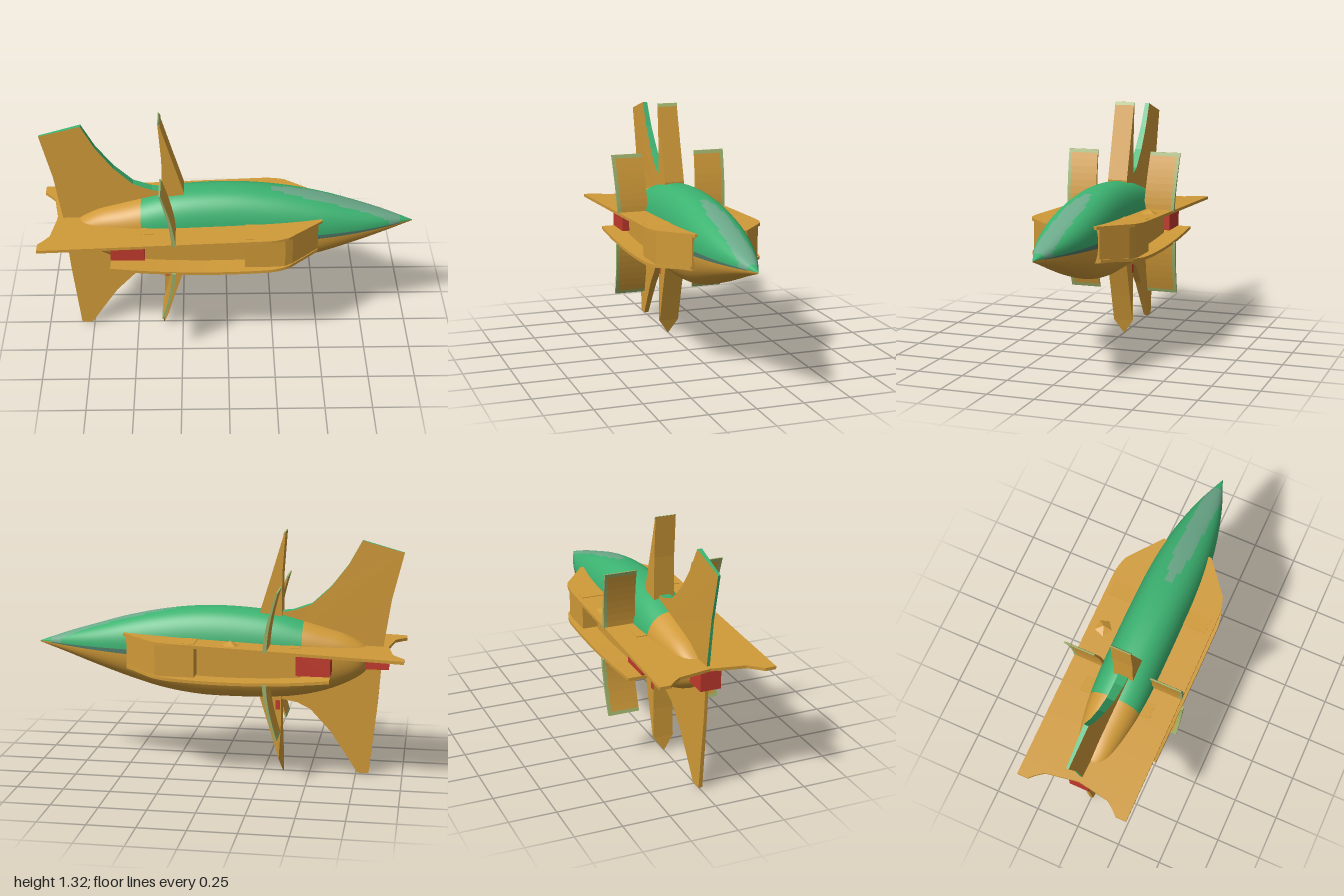
import * as THREE from 'three';

const mat = (name, color, side = THREE.FrontSide) => {
  const m = new THREE.MeshStandardMaterial({ color, side });
  m.name = name;
  return m;
};

export function createModel() {
  const orange = mat('orange', 0xd09a38);
  const green = mat('green', 0x3cb371);
  const pale = mat('pale green', 0x6cab8b);
  const olive = mat('olive trim', 0x9fb26c);
  const teal = mat('dark teal', 0x4d7a68);
  const red = mat('red', 0xc23a2c);

  const model = new THREE.Group();
  const add = (parent, name, geo, material) => {
    const m = new THREE.Mesh(geo, material);
    m.name = name;
    parent.add(m);
    return m;
  };
  const shape = pts => new THREE.Shape(pts.map(p => new THREE.Vector2(...p)));
  const box = (x0, x1, y0, y1, z0, z1) =>
    new THREE.BoxGeometry(x1 - x0, y1 - y0, z1 - z0)
      .translate((x0 + x1) / 2, (y0 + y1) / 2, (z0 + z1) / 2);
  // moves every vertex by a rule
  const warp = (geo, rule) => {
    const p = geo.attributes.position, v = new THREE.Vector3();
    for (let i = 0; i < p.count; i++) {
      rule(v.fromBufferAttribute(p, i), i);
      p.setXYZ(i, v.x, v.y, v.z);
    }
    geo.computeVertexNormals();
    return geo;
  };
  // side profile in x, y extruded from z0 to z1
  const slab = (pts, z0, z1) =>
    new THREE.ExtrudeGeometry(shape(pts), { depth: z1 - z0, bevelEnabled: false }).translate(0, 0, z0);

  // fuselage: x, top, bottom, half width
  const sections = [
    [-0.82, 0.67, 0.66, 0], [-0.8, 0.71, 0.595, 0.05], [-0.76, 0.74, 0.555, 0.085],
    [-0.68, 0.78, 0.51, 0.11], [-0.58, 0.81, 0.47, 0.13], [-0.46, 0.845, 0.44, 0.146],
    [-0.3, 0.885, 0.42, 0.155], [-0.1, 0.904, 0.415, 0.157], [0.1, 0.903, 0.42, 0.157],
    [0.3, 0.88, 0.45, 0.154], [0.5, 0.838, 0.507, 0.14], [0.68, 0.786, 0.568, 0.108],
    [0.84, 0.737, 0.624, 0.063], [1, 0.68, 0.675, 0]];
  const upperLine = new THREE.SplineCurve(sections.map(s => new THREE.Vector2(s[0], s[1])));
  const lowerLine = new THREE.SplineCurve(sections.map(s => new THREE.Vector2(s[2], s[3])));
  const nx = (sections.length - 1) * 6, na = 64;
  const body = new THREE.PlaneGeometry(1, 1, nx, na);
  const uv = body.attributes.uv;
  const soft = c => Math.sign(c) * Math.abs(c) ** 0.84;
  warp(body, (v, i) => {
    const a = -Math.PI / 2 + uv.getY(i) * Math.PI * 2;
    const t = uv.getX(i), s = upperLine.getPoint(t), w = lowerLine.getPoint(t);
    const mid = Math.min(0.68, (s.y * 2 + w.x) / 3 + 0.03, s.y);
    const sn = soft(Math.sin(a));
    v.set(s.x, mid + sn * (sn > 0 ? s.y - mid : mid - w.x), Math.max(0, w.y) * soft(Math.cos(a)));
  });
  // sort the fuselage faces by colour
  const bins = [[], [], [], []];
  const pos = body.attributes.position, idx = body.index.array;
  for (let r = 0; r < na; r++) for (let c = 0; c < nx; c++) {
    const k = (r * nx + c) * 6;
    const a = -Math.PI / 2 + (1 - (r + 0.5) / na) * Math.PI * 2;
    let x = 0, z = 0;
    for (let j = 0; j < 6; j++) { x += pos.getX(idx[k + j]) / 6; z += pos.getZ(idx[k + j]) / 6; }
    const upper = Math.sin(a) > 0 && x > -0.46;
    const glint = upper && x > 0.25 && x < 0.93 &&
      Math.abs(z) < 0.05 * Math.sqrt(Math.min(1, (x - 0.24) / 0.2));
    const groove = x > 0.48 && x < 0.93 && Math.sin(a) < 0 && Math.sin(a) > -0.08;
    bins[glint ? 2 : upper ? 1 : groove ? 3 : 0].push(...idx.slice(k, k + 6));
  }
  body.setIndex(bins.flat());
  let start = 0;
  bins.forEach((b, i) => { body.addGroup(start, b.length, i); start += b.length; });
  add(model, 'fuselage', body, [orange, green, pale, teal]);

  // tail nozzle
  add(model, 'tailNozzle', box(-0.915, -0.79, 0.6, 0.7, -0.055, 0.055), red);

  // tail fins, thinner toward the rear
  const taper = v => { v.z *= Math.max(0.25, (v.x + 1.1) * 1.5); };
  add(model, 'dorsalFin', warp(slab([[-0.98, 1.22], [-0.92, 0.97], [-0.88, 0.7], [-0.4, 0.76], [-0.3, 0.885],
    [-0.4, 0.898], [-0.5, 0.935], [-0.6, 1.03], [-0.69, 1.15], [-0.76, 1.28]], -0.025, 0.025), taper), [orange, green]);
  add(model, 'ventralFin', warp(slab([[-0.88, 0.7], [-0.86, 0.4], [-0.82, 0.01], [-0.76, 0.01], [-0.69, 0.12],
    [-0.61, 0.24], [-0.5, 0.36], [-0.43, 0.395], [-0.3, 0.42], [-0.4, 0.62]], -0.025, 0.025), taper), [orange, orange]);

  // centre wedges above and below the fuselage
  add(model, 'upperWedge', slab([[-0.345, 0.84], [-0.23, 0.84], [-0.23, 0.9], [-0.29, 1.1],
    [-0.354, 1.32], [-0.36, 1.32], [-0.345, 1.1]], -0.055, 0.055), orange);
  add(model, 'upperWedgeTrim', slab([[-0.352, 1.305], [-0.345, 1.305], [-0.354, 1.322], [-0.36, 1.322]],
    -0.056, 0.056), olive);
  add(model, 'lowerWedge', warp(slab([[-0.345, 0.48], [-0.345, 0.25], [-0.352, 0.08], [-0.36, 0], [-0.354, 0],
    [-0.335, 0.08], [-0.29, 0.23], [-0.23, 0.42], [-0.23, 0.48]], -0.055, 0.055),
  v => { v.z *= Math.min(1, v.y / 0.08 + 0.03); }), orange);
  add(model, 'lowerWedgeInset', box(-0.34, -0.315, 0.36, 0.41, -0.058, 0.058), red);

  // curved plate: a box stretched between inner and outer edges
  const plate = (x0, x1, inner, outer, y, thick) => warp(
    new THREE.BoxGeometry(1, thick, 1, 50, 1, 1).toNonIndexed(), v => {
      const x = x0 + (v.x + 0.5) * (x1 - x0);
      const z = v.z < 0 ? inner(x) : outer(x);
      v.set(x, v.y + y(x), z);
    });
  const edge = x => x < 0.2 ? 0.31 : x < 0.32 ? 0.31 - 0.025 * ((x - 0.2) / 0.12) ** 2
    : 0.285 - (x - 0.32) * 0.8;
  const notch = x => x < -0.91 ? 0.08 + 0.17 * Math.sqrt(Math.min(1, (-0.91 - x) / 0.09)) : 0;

  // swept vertical blade standing on a wing
  const blade = (parent, name, y0, y1, zIn, zOut, lean) => {
    const strip = (t0, t1) => {
      const front = [], back = [];
      for (let i = 0; i <= 8; i++) {
        const t = t0 + (t1 - t0) * i / 8, x = -0.285 - 0.065 * t ** 1.6, y = y0 + (y1 - y0) * t;
        front.push([x + 0.011 * (1 - 0.6 * t), y]);
        back.unshift([x - 0.011 * (1 - 0.6 * t), y]);
      }
      return front.concat(back);
    };
    const piece = (n, t0, t1, a, b, m) => add(parent, name + n,
      warp(slab(strip(t0, t1), a, b), v => { v.z += lean * (v.y - y0) / (y1 - y0); }), m);
    piece('', 0, 0.94, zIn, zOut - 0.018, orange);
    piece('Edge', 0, 0.94, zOut - 0.018, zOut, olive);
    piece('Tip', 0.94, 1, zIn, zOut, olive);
  };

  // one side: wings, intake pod and blades
  const side = new THREE.Group();
  side.name = 'leftSide';
  add(side, 'upperWing', plate(-1, 0.5, notch, edge, x => 0.702 + 0.04 * (x + 1), 0.016), orange);
  add(side, 'lowerWing', plate(-0.62, 0.48, () => 0.08, edge,
    x => 0.555 + 0.11 * (x + 0.1) ** 2, 0.016), orange);
  const pod = new THREE.ExtrudeGeometry(shape([[0.09, 0.1], [0.48, 0.1], [0.48, 0.15], [0.34, 0.262],
    [0.3, 0.282], [0.09, 0.285]]), { depth: 0.18, bevelEnabled: false });
  add(side, 'intakePod', pod.rotateX(Math.PI / 2).translate(0, 0.757, 0), orange);
  add(side, 'podWall', box(-0.46, 0.1, 0.56, 0.735, 0.1, 0.2), orange);
  add(side, 'exhaust', box(-0.62, -0.44, 0.595, 0.705, 0.1, 0.24), red);
  blade(side, 'upperBlade', 0.73, 1.05, 0.14, 0.312, 0.015);
  blade(side, 'lowerBlade', 0.56, 0.26, 0.15, 0.322, -0.008);
  const other = side.clone();
  other.name = 'rightSide';
  other.scale.z = -1;
  model.add(side, other);

  // small lump on the right wing
  const lump = new THREE.ConeGeometry(0.06, 0.03, 5).toNonIndexed();
  lump.computeVertexNormals();
  add(model, 'wingLump', lump.translate(-0.095, 0.755, -0.23), orange);

  return model;
}
